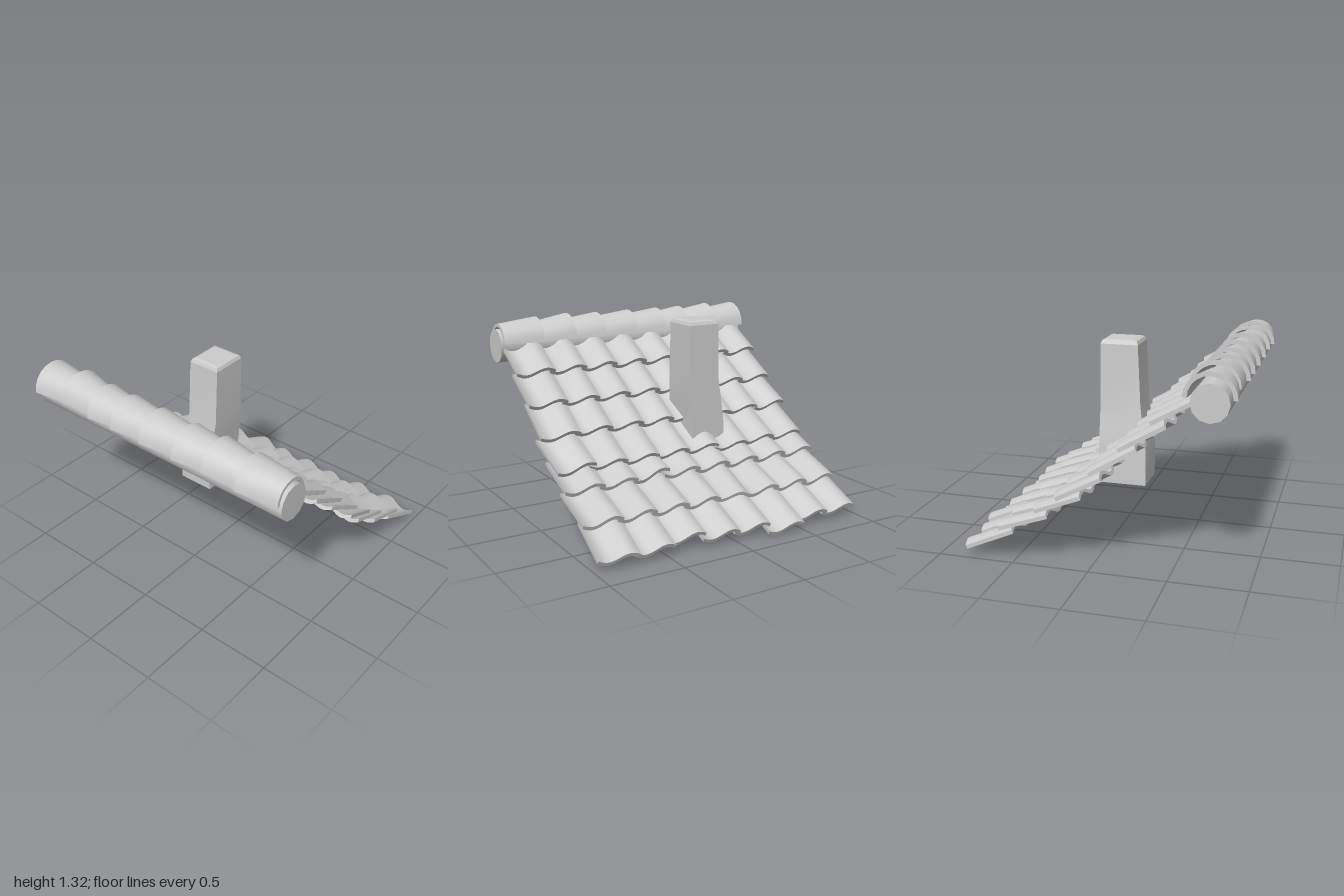
import * as THREE from 'three';
import { toCreasedNormals } from 'three/addons/utils/BufferGeometryUtils.js';

const material = new THREE.MeshStandardMaterial({ color: 0xcccccc });

function addMesh(parent, name, geometry) {
  const mesh = new THREE.Mesh(geometry, material);
  mesh.name = name;
  parent.add(mesh);
  return mesh;
}

// S-profile roof tile of unit length: runs along +x, its width goes towards -z
const TILE_WIDTH = 0.28;
function tileGeometry() {
  const steps = 14, upper = [], lower = [];
  for (let i = 0; i <= steps; i++) {
    const u = i / steps;
    const h = -0.025 * Math.sin(u * Math.PI * 2);
    upper.push(new THREE.Vector2((u - 0.5) * TILE_WIDTH, h + 0.013));
    lower.unshift(new THREE.Vector2((u - 0.5) * TILE_WIDTH, h - 0.013));
  }
  const shape = new THREE.Shape([...upper, ...lower]);
  const geometry = new THREE.ExtrudeGeometry(shape, { depth: 1, bevelEnabled: false });
  geometry.rotateY(Math.PI / 2);
  return toCreasedNormals(geometry, 0.7);
}

// Tapered half-round ridge cap: wide end at z = 0, narrow end at z = length
function capGeometry(length) {
  const shape = new THREE.Shape();
  const outer = 0.161, inner = 0.134, steps = 10;
  for (let i = 0; i <= steps; i++) {
    const a = (i / steps) * Math.PI;
    shape[i ? 'lineTo' : 'moveTo'](outer * Math.cos(a), outer * Math.sin(a));
  }
  for (let i = steps; i >= 0; i--) {
    const a = (i / steps) * Math.PI;
    shape.lineTo(inner * Math.cos(a), inner * Math.sin(a));
  }
  const geometry = new THREE.ExtrudeGeometry(shape, { depth: length, bevelEnabled: false });
  const p = geometry.attributes.position;
  for (let i = 0; i < p.count; i++) {
    const s = 1 - 0.21 * (p.getZ(i) / length);
    p.setXY(i, p.getX(i) * s, p.getY(i) * s);
  }
  return toCreasedNormals(geometry, 0.6);
}

// Chimney: a box whose levels follow the given sections
function chimneyGeometry() {
  // y, x min, x max, z min, z max
  const sections = [
    [0.38, -0.2, 0.12, -0.365, -0.105],
    [0.62, -0.2, 0.12, -0.362, -0.107],
    [0.76, -0.175, 0.12, -0.343, -0.092],
    [0.92, -0.152, 0.12, -0.318, -0.08],
    [1.315, -0.132, 0.12, -0.31, -0.078],
    [1.337, -0.122, 0.11, -0.3, -0.088],
    [1.345, -0.1, 0.09, -0.28, -0.11],
  ];
  const n = sections.length - 1;
  const geometry = new THREE.BoxGeometry(1, 1, 1, 1, n, 1).toNonIndexed();
  const p = geometry.attributes.position;
  for (let i = 0; i < p.count; i++) {
    const [y, x0, x1, z0, z1] = sections[Math.round((p.getY(i) + 0.5) * n)];
    p.setXYZ(i, p.getX(i) < 0 ? x0 : x1, y, p.getZ(i) < 0 ? z0 : z1);
  }
  return toCreasedNormals(geometry, 0.25);
}

export function createModel() {
  const model = new THREE.Group();
  model.name = 'tiledRoof';

  // Tile courses from the ridge to the eaves: upper x, y and lower x, y
  const courses = [
    [-0.66, 1.155, -0.385, 1.0],
    [-0.475, 0.985, -0.19, 0.82],
    [-0.29, 0.82, 0, 0.65],
    [-0.08, 0.625, 0.21, 0.472],
    [0.05, 0.495, 0.35, 0.378],
    [0.27, 0.35, 0.595, 0.237],
    [0.5, 0.225, 0.82, 0.085],
  ];
  // Slipped or twisted tiles, keyed by course and column: along the slope, yaw, roll
  const loose = {
    '2,7': [0, 0.07, 0],
    '3,0': [0, 0.08, 0.04],
    '4,2': [-0.02, 0.08, 0.1],
    '5,4': [0, -0.09, -0.08],
    '2,0': [0.01, -0.03, 0.04],
    '6,0': [0, -0.07, 0],
    '6,2': [-0.04, 0, 0.03],
    '6,5': [0.06, -0.03, 0.06],
    '3,5': [0.02, 0, 0],
    '2,5': [0.02, 0, 0],
  };
  const tile = tileGeometry();
  courses.forEach(([x0, y0, x1, y1], row) => {
    const course = new THREE.Group();
    course.name = 'tileCourse' + (row + 1);
    model.add(course);
    const slope = Math.atan2(y1 - y0, x1 - x0);
    const length = Math.hypot(x1 - x0, y1 - y0);
    for (let col = 0; col < 8; col++) {
      const [slip, yaw, roll] = loose[row + ',' + col] || [0, 0, 0];
      const mesh = addMesh(course, 'roofTile', tile);
      mesh.scale.x = length;
      mesh.position.set(
        x0 + slip * Math.cos(slope),
        y0 + slip * Math.sin(slope),
        0.83 - col * 0.239 + yaw * length * 0.5
      );
      mesh.rotation.set(roll, yaw, slope, 'ZYX');
    }
  });

  // Ridge beam
  const beam = addMesh(model, 'ridgeBeam',
    toCreasedNormals(new THREE.CylinderGeometry(0.118, 0.118, 1.98, 12), 0.6));
  beam.rotation.x = Math.PI / 2;
  beam.position.set(-0.735, 1.148, -0.005);

  // Overlapping ridge caps, given by their wide ends
  const ends = [-1, -0.755, -0.51, -0.31, -0.065, 0.2, 0.43, 0.68, 0.935];
  for (let i = 0; i < 8; i++) {
    const cap = addMesh(model, 'ridgeCap', capGeometry(ends[i + 1] - ends[i] + 0.03));
    cap.position.set(-0.735, 1.175, ends[i]);
    if (i === 1) {
      cap.position.x = -0.718;
      cap.rotation.y = -0.08;
    }
    if (i === 1 || i === 6) {
      cap.position.y = 1.184;
      cap.rotation.x = 0.05;
    }
  }

  addMesh(model, 'chimney', chimneyGeometry());
  return model;
}
